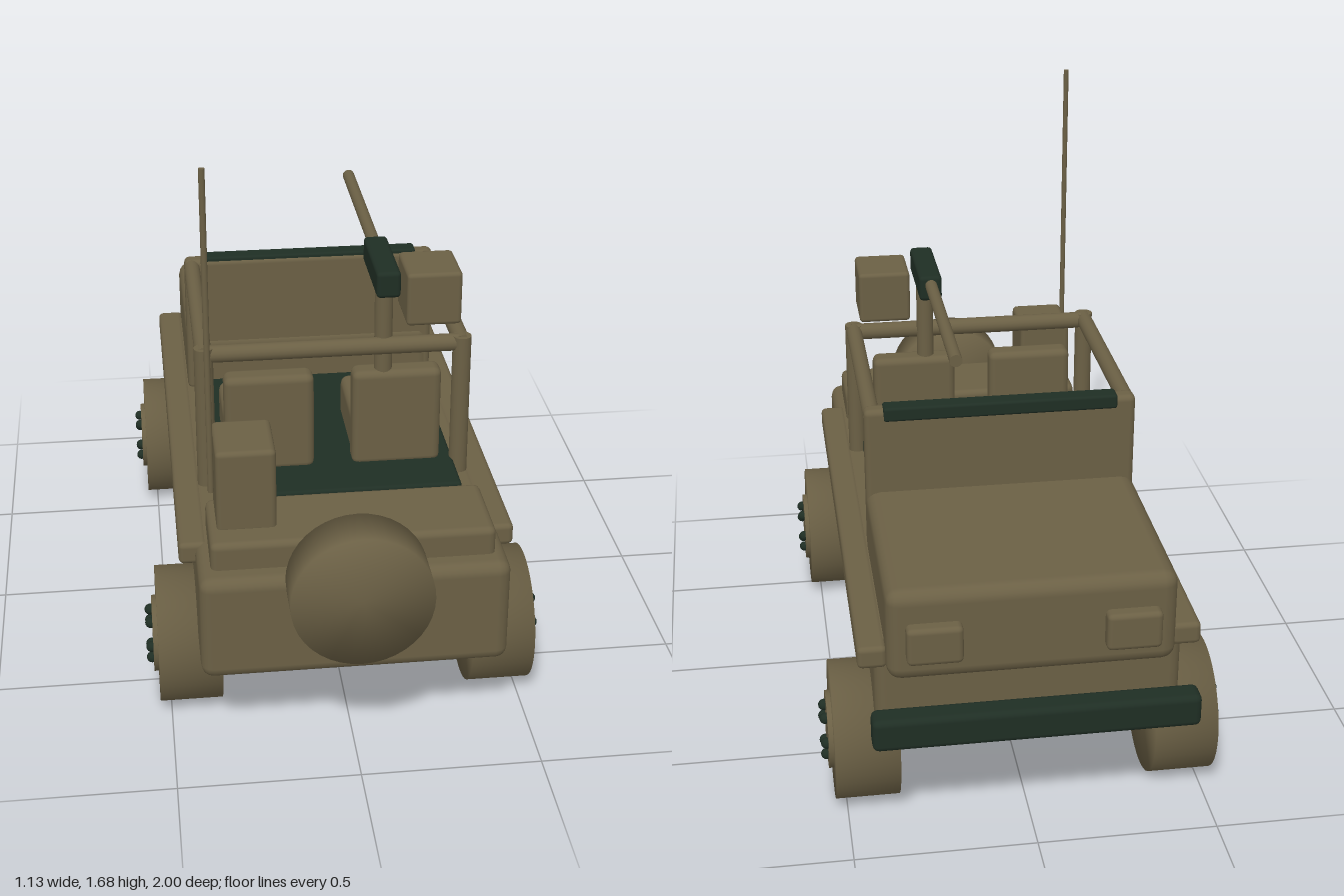
import * as THREE from 'three';
import { mergeVertices } from 'three/addons/utils/BufferGeometryUtils.js';
import { RoundedBoxGeometry } from 'three/addons/geometries/RoundedBoxGeometry.js';

const olive = new THREE.MeshStandardMaterial({ name: 'olive drab', color: 0x6b6045 });
const dark = new THREE.MeshStandardMaterial({ name: 'dark green', color: 0x1f2e24 });

export function createModel() {
  const model = new THREE.Group();
  model.name = 'openTruck';

  function add(name, geometry, material, parent = model) {
    const mesh = new THREE.Mesh(geometry, material);
    mesh.name = name;
    parent.add(mesh);
    return mesh;
  }

  // Rounded box given by its extents on each axis
  function box(name, [x0, x1], [y0, y1], [z0, z1], radius, material = olive) {
    const g = new RoundedBoxGeometry(x1 - x0, y1 - y0, z1 - z0, 2, radius);
    g.translate((x0 + x1) / 2, (y0 + y1) / 2, (z0 + z1) / 2);
    return add(name, g, material);
  }

  // Round bar between two points
  function bar(name, from, to, radius, material = olive) {
    const a = new THREE.Vector3(...from), b = new THREE.Vector3(...to);
    const mesh = add(name, new THREE.CylinderGeometry(radius, radius, a.distanceTo(b), 16), material);
    mesh.position.copy(a).add(b).multiplyScalar(0.5);
    mesh.quaternion.setFromUnitVectors(new THREE.Vector3(0, 1, 0), b.sub(a).normalize());
    return mesh;
  }

  // Tyre drum whose normals blend softly over the rim
  function softDrum(radius, width) {
    const g = new THREE.CylinderGeometry(radius, radius, width, 40);
    g.deleteAttribute('uv');
    g.deleteAttribute('normal');
    const merged = mergeVertices(g, 1e-4);
    merged.computeVertexNormals();
    return merged;
  }

  // Body, hood and windshield
  box('body', [-0.42, 0.42], [0.26, 0.57], [-0.84, 0.885], 0.035);
  box('hood', [-0.39, 0.39], [0.48, 0.75], [-0.9, -0.26], 0.04);
  box('windshield', [-0.39, 0.39], [0.56, 1.005], [-0.32, -0.265], 0.018);
  box('windshieldTrim', [-0.335, 0.335], [0.97, 1.012], [-0.325, -0.27], 0.008, dark);
  box('bumper', [-0.44, 0.44], [0.335, 0.43], [-1, -0.925], 0.018, dark);
  box('floor', [-0.35, 0.35], [0.55, 0.613], [-0.235, 0.51], 0.01, dark);
  box('rearDeck', [-0.385, 0.385], [0.55, 0.648], [0.572, 0.825], 0.02);

  // Parts mirrored on both sides
  for (const s of [-1, 1]) {
    const span = (a, b) => (s > 0 ? [a, b] : [-b, -a]);
    box('sideRail', span(0.385, 0.465), [0.505, 0.57], [-0.86, 0.685], 0.015);
    box('headlight', span(0.19, 0.34), [0.55, 0.66], [-0.937, -0.86], 0.015);
    box('seatCushion', span(0.06, 0.31), [0.6, 0.735], [0.02, 0.3], 0.025);
    box('seatBack', span(0.055, 0.312), [0.6, 0.9], [0.285, 0.36], 0.022);
    bar('rollPost', [s * 0.367, 0.56, 0.35], [s * 0.367, 1, 0.35], 0.027);
    bar('rollSideBar', [s * 0.367, 0.98, 0.36], [s * 0.367, 0.98, -0.3], 0.024);
  }
  bar('rollCrossBar', [-0.375, 0.978, 0.345], [0.375, 0.978, 0.345], 0.025);

  // Wheels: tyre, hub and six bolts
  for (const s of [-1, 1]) {
    for (const z of [-0.662, 0.543]) {
      const wheel = new THREE.Group();
      wheel.name = z < 0 ? 'frontWheel' : 'rearWheel';
      wheel.position.set(s * 0.443, 0.194, z);
      wheel.rotation.z = -s * Math.PI / 2;
      model.add(wheel);
      add('tyre', softDrum(0.193, 0.177), olive, wheel);
      const hub = add('hub', new THREE.CylinderGeometry(0.108, 0.108, 0.05, 32), olive, wheel);
      hub.position.y = 0.077;
      for (let i = 0; i < 6; i++) {
        const a = i * Math.PI / 3;
        const bolt = add('wheelBolt', new THREE.SphereGeometry(0.016, 12, 8), dark, wheel);
        bolt.position.set(0.068 * Math.sin(a), 0.106, 0.068 * Math.cos(a));
      }
    }
  }

  // Spare wheel on the tail
  const spare = add('spareWheel', softDrum(0.191, 0.13), olive);
  spare.rotation.x = Math.PI / 2;
  spare.position.set(0, 0.557, 0.935);

  // Radio pack and antenna
  box('radioPack', [-0.362, -0.2], [0.635, 0.88], [0.557, 0.748], 0.015);
  bar('antenna', [-0.376, 0.78, 0.768], [-0.376, 1.68, 0.768], 0.008);

  // Mounted gun
  bar('gunPost', [0.145, 0.75, 0.325], [0.145, 1.17, 0.325], 0.026);
  box('gunReceiver', [0.112, 0.18], [1.15, 1.227], [0.132, 0.41], 0.012, dark);
  bar('gunBarrel', [0.145, 1.2, 0.15], [0.145, 1.2, -0.45], 0.018);
  box('ammunitionBox', [0.2, 0.355], [1.055, 1.212], [0.22, 0.395], 0.012);

  return model;
}
